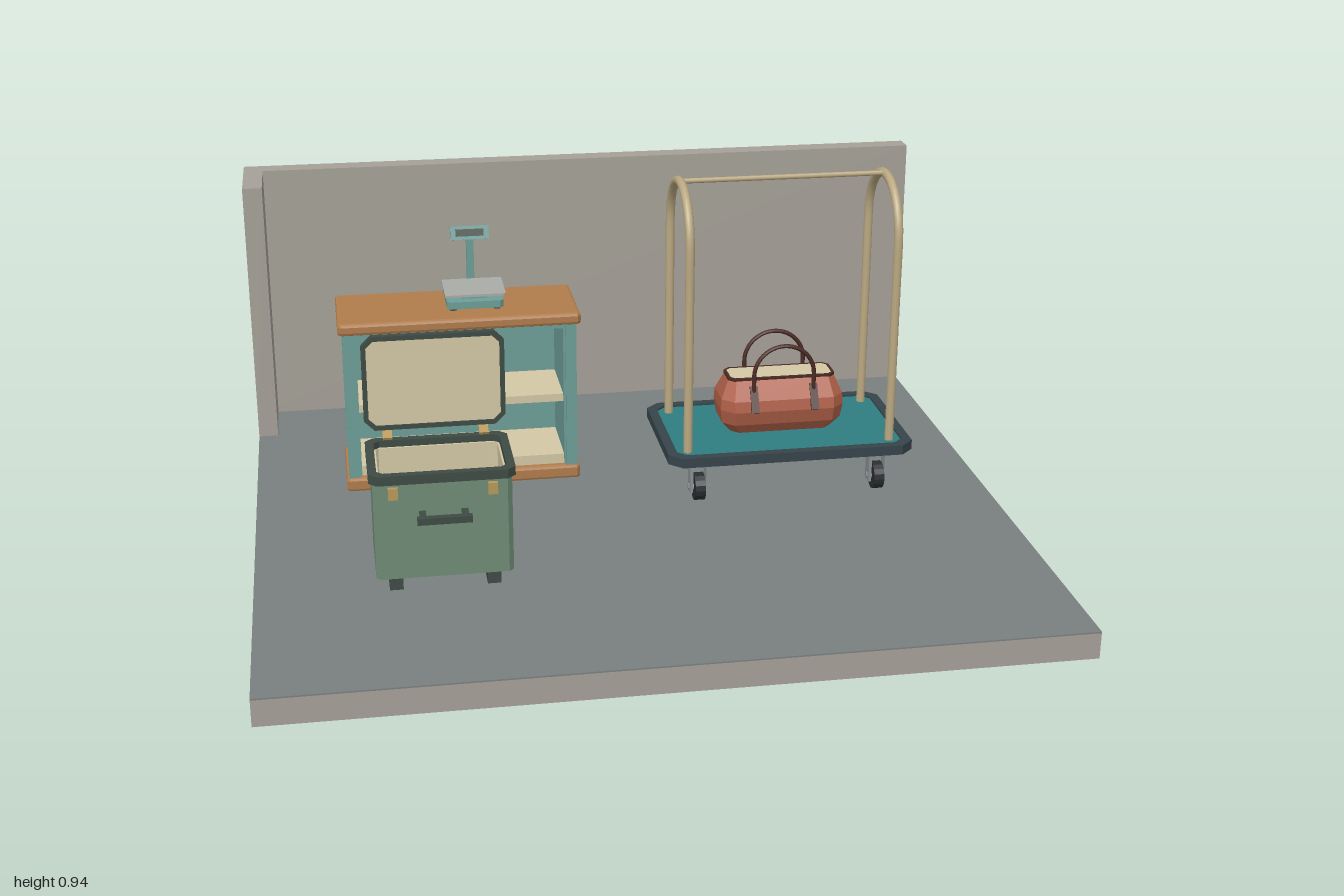
import * as THREE from 'three';
import { mergeVertices } from 'three/addons/utils/BufferGeometryUtils.js';

const C = {
  wall: 0xa5a198, floor: 0x7a8080, wood: 0xb07c4c, teal: 0x6d9e98, cream: 0xd3c7a5, pale: 0xa9aca6,
  green: 0x6f8b76, dark: 0x3f4b45, brass: 0xb8985a, gold: 0xbba982, bag: 0xae5f47, strap: 0x4a2a24,
  deck: 0x2f7d80, rim: 0x36444a, tyre: 0x2a2e31, steel: 0x8b9194,
};
const mats = {};
const mat = (name) => (mats[name] ??= new THREE.MeshStandardMaterial({ color: C[name], flatShading: name !== 'gold' }));

function add(group, name, geometry, color, x = 0, y = 0, z = 0) {
  const mesh = new THREE.Mesh(geometry, mat(color));
  mesh.name = name;
  mesh.position.set(x, y, z);
  group.add(mesh);
  return mesh;
}
// box given by its limits
function span(group, name, color, x0, x1, y0, y1, z0, z1) {
  return add(group, name, new THREE.BoxGeometry(x1 - x0, y1 - y0, z1 - z0), color,
    (x0 + x1) / 2, (y0 + y1) / 2, (z0 + z1) / 2);
}
// corner points of a rectangle with cut corners
function cutRect(w, h, c) {
  const a = w / 2, b = h / 2;
  return [[a, -b + c], [a, b - c], [a - c, b], [-a + c, b], [-a, b - c], [-a, -b + c], [-a + c, -b], [a - c, -b]]
    .map(([x, y]) => new THREE.Vector2(x, y));
}
// cut-corner panel, optionally a ring of the given border width
function panel(w, h, c, depth, border = 0) {
  const shape = new THREE.Shape(cutRect(w, h, c));
  if (border) shape.holes.push(new THREE.Path(cutRect(w - 2 * border, h - 2 * border, c * 0.7)));
  return new THREE.ExtrudeGeometry(shape, { depth, bevelEnabled: false });
}
const slab = (...args) => panel(...args).rotateX(-Math.PI / 2);
// slab with softened edges, w x d overall
function softSlab(w, d, h, b) {
  return new THREE.ExtrudeGeometry(new THREE.Shape(cutRect(w - 2 * b, d - 2 * b, 0.004)),
    { depth: h - 2 * b, bevelThickness: b, bevelSize: b, bevelSegments: 2 }).translate(0, 0, b).rotateX(-Math.PI / 2);
}
// tube along straight and arched runs: two legs joined by a half circle in the xy plane
function archTube(r, base, spring, tubeR, sides) {
  const path = new THREE.CurvePath();
  const v = (x, y) => new THREE.Vector3(x, y, 0);
  const pts = [];
  for (let i = 0; i <= 4; i++) pts.push(v(-r, base + (spring - base) * i / 4));
  for (let i = 1; i < 16; i++) pts.push(v(-r * Math.cos(Math.PI * i / 16), spring + r * Math.sin(Math.PI * i / 16)));
  for (let i = 4; i >= 0; i--) pts.push(v(r, base + (spring - base) * i / 4));
  for (let i = 1; i < pts.length; i++) path.add(new THREE.LineCurve3(pts[i - 1], pts[i]));
  return new THREE.TubeGeometry(new THREE.CatmullRomCurve3(pts), 56, tubeR, sides);
}

function room() {
  const g = new THREE.Group();
  g.name = 'room';
  span(g, 'base', 'wall', -1, 1, 0, 0.068, -0.9, 0.9);
  span(g, 'floor', 'floor', -1, 1, 0.068, 0.072, -0.84, 0.9);
  span(g, 'backWall', 'wall', -1, 1, 0.068, 0.828, -0.9, -0.84);
  span(g, 'sideWall', 'wall', -1, -0.945, 0.068, 0.828, -0.84, -0.65);
  return g;
}

function counter() {
  const g = new THREE.Group();
  g.name = 'counter';
  const cx = -0.428, cz = -0.325;
  add(g, 'plinth', softSlab(0.65, 0.25, 0.04, 0.008), 'wood', cx, 0.072, cz);
  add(g, 'top', softSlab(0.66, 0.265, 0.034, 0.009), 'wood', cx, 0.53, cz);
  span(g, 'backPanel', 'teal', -0.735, -0.12, 0.11, 0.53, -0.438, -0.42);
  span(g, 'header', 'teal', -0.735, -0.12, 0.515, 0.53, -0.43, -0.215);
  for (const s of [-1, 1]) {
    span(g, 'sidePanel', 'teal', cx + s * 0.296 - 0.014, cx + s * 0.296 + 0.014, 0.11, 0.53, -0.43, -0.213);
    for (const z of [-0.43, -0.217])
      add(g, 'cornerPost', new THREE.BoxGeometry(0.03, 0.42, 0.022), 'teal', cx + s * 0.303, 0.32, z);
  }
  span(g, 'bottomShelf', 'cream', -0.71, -0.146, 0.112, 0.14, -0.42, -0.22);
  span(g, 'middleShelf', 'cream', -0.71, -0.146, 0.297, 0.319, -0.42, -0.225);
  return g;
}

function scale() {
  const g = new THREE.Group();
  g.name = 'weighingScale';
  add(g, 'scaleBase', slab(0.155, 0.175, 0.01, 0.02), 'teal', -0.38, 0.572, -0.34);
  for (const x of [-0.44, -0.32]) for (const z of [-0.4, -0.275])
    add(g, 'scaleFoot', new THREE.CylinderGeometry(0.01, 0.01, 0.012, 8), 'dark', x, 0.568, z);
  add(g, 'neck', new THREE.BoxGeometry(0.07, 0.018, 0.07), 'teal', -0.38, 0.6, -0.317);
  add(g, 'weighPlate', slab(0.166, 0.146, 0.004, 0.007), 'pale', -0.38, 0.608, -0.317);
  span(g, 'column', 'teal', -0.39, -0.37, 0.58, 0.735, -0.418, -0.4);
  const head = new THREE.Group();
  head.name = 'display';
  add(head, 'displayCase', new THREE.BoxGeometry(0.106, 0.038, 0.014), 'teal');
  add(head, 'displayScreen', new THREE.BoxGeometry(0.078, 0.02, 0.004), 'dark', 0, 0, 0.007);
  head.position.set(-0.38, 0.742, -0.408);
  head.rotation.x = -0.3;
  g.add(head);
  return g;
}

function trunk() {
  const g = new THREE.Group();
  g.name = 'trunk';
  const cx = -0.526, cz = 0.315;
  add(g, 'body', slab(0.342, 0.23, 0.012, 0.26, 0.012), 'green', cx, 0.11, cz);
  add(g, 'bottom', slab(0.335, 0.222, 0.01, 0.012), 'green', cx, 0.11, cz);
  add(g, 'lining', slab(0.32, 0.208, 0.01, 0.25, 0.006), 'cream', cx, 0.122, cz);
  add(g, 'liningFloor', slab(0.316, 0.204, 0.01, 0.006), 'cream', cx, 0.122, cz);
  add(g, 'rim', slab(0.36, 0.25, 0.02, 0.024, 0.021), 'dark', cx, 0.366, cz);
  // open lid
  add(g, 'lidFrame', panel(0.358, 0.25, 0.026, 0.018, 0.012), 'dark', cx, 0.54, 0.184);
  add(g, 'lidLining', panel(0.338, 0.23, 0.022, 0.006), 'cream', cx, 0.54, 0.192);
  add(g, 'lidShell', panel(0.35, 0.242, 0.024, 0.012), 'green', cx, 0.54, 0.18);
  for (const s of [-1, 1]) {
    const x = cx + s * 0.122;
    span(g, 'skid', 'dark', x - 0.017, x + 0.017, 0.072, 0.112, 0.22, 0.415);
    span(g, 'hingeStrap', 'brass', x - 0.012, x + 0.012, 0.41, 0.5, 0.17, 0.18);
    const elbow = span(g, 'hingeElbow', 'brass', x - 0.012, x + 0.012, 0.396, 0.406, 0.17, 0.21);
    elbow.rotation.x = 0.45;
    span(g, 'latch', 'brass', x - 0.012, x + 0.012, 0.327, 0.357, 0.428, 0.442);
    span(g, 'handlePost', 'dark', cx + s * 0.052 - 0.008, cx + s * 0.052 + 0.008, 0.274, 0.29, 0.428, 0.475);
  }
  span(g, 'handleBar', 'dark', cx - 0.067, cx + 0.067, 0.274, 0.291, 0.464, 0.482);
  return g;
}

function cart() {
  const g = new THREE.Group();
  g.name = 'luggageCart';
  const cx = 0.448, cz = -0.152;
  add(g, 'deckRim', slab(0.68, 0.418, 0.035, 0.027, 0.026), 'rim', cx, 0.193, cz);
  add(g, 'deck', slab(0.64, 0.38, 0.025, 0.02), 'deck', cx, 0.195, cz);
  for (const s of [-1, 1]) {
    const hoop = add(g, 'hoop', archTube(0.147, 0.21, 0.785, 0.0125, 10), 'gold', cx + s * 0.282, 0, cz);
    hoop.rotation.y = Math.PI / 2;
    for (const t of [-1, 1]) {
      const x = cx + s * 0.251, z = cz + t * 0.144;
      add(g, 'casterPlate', new THREE.BoxGeometry(0.066, 0.014, 0.05), 'steel', x, 0.186, z);
      for (const k of [-1, 1])
        add(g, 'casterFork', new THREE.BoxGeometry(0.008, 0.085, 0.036), 'steel', x + k * 0.022, 0.14, z);
      add(g, 'wheel', new THREE.CylinderGeometry(0.038, 0.038, 0.028, 16).rotateZ(Math.PI / 2), 'tyre', x, 0.11, z);
      add(g, 'axle', new THREE.CylinderGeometry(0.01, 0.01, 0.058, 8).rotateZ(Math.PI / 2), 'steel', x, 0.11, z);
    }
  }
  add(g, 'crossBar', new THREE.CylinderGeometry(0.007, 0.007, 0.564, 8).rotateZ(Math.PI / 2), 'gold', cx, 0.934, cz);
  return g;
}

function bag() {
  const g = new THREE.Group();
  g.name = 'travelBag';
  // cut-corner sections: height, width, depth
  const rings = [[0, 0.285, 0.11], [0.03, 0.335, 0.15], [0.07, 0.346, 0.17], [0.1, 0.342, 0.158], [0.155, 0.294, 0.09]];
  const pos = [], idx = [];
  for (const [y, w, d] of rings) for (const p of cutRect(w, d, d * 0.2)) pos.push(p.x, y, -p.y);
  for (let r = 0; r < rings.length - 1; r++) for (let i = 0; i < 8; i++) {
    const a = r * 8 + i, b = r * 8 + (i + 1) % 8;
    idx.push(a, b, b + 8, a, b + 8, a + 8);
  }
  const top = (rings.length - 1) * 8;
  for (let i = 1; i < 7; i++) idx.push(0, i + 1, i, top, top + i, top + i + 1);
  const geo = new THREE.BufferGeometry();
  geo.setAttribute('position', new THREE.Float32BufferAttribute(pos, 3));
  geo.setIndex(idx);
  const body = mergeVertices(geo);
  body.computeVertexNormals();
  add(g, 'bagBody', body, 'bag', 0, 0, 0);
  add(g, 'mouthTrim', slab(0.3, 0.096, 0.016, 0.008, 0.008), 'strap', 0, 0.149, 0);
  add(g, 'mouthPanel', slab(0.285, 0.081, 0.012, 0.006), 'cream', 0, 0.151, 0);
  // a handle and its two strap patches on each face
  for (const s of [-1, 1]) {
    add(g, 'handle', archTube(0.084, 0.115, 0.168, 0.006, 8), 'strap', 0, 0, s * 0.064);
    for (const k of [-1, 1]) {
      const patch = add(g, 'handlePatch', new THREE.BoxGeometry(0.022, 0.075, 0.008), 'strap', k * 0.084, 0.104, s * 0.075);
      patch.rotation.x = -s * 0.5;
    }
  }
  g.position.set(0.449, 0.222, -0.152);
  return g;
}

export function createModel() {
  const model = new THREE.Group();
  model.name = 'luggageRoom';
  model.add(room(), counter(), scale(), trunk(), cart(), bag());
  return model;
}
